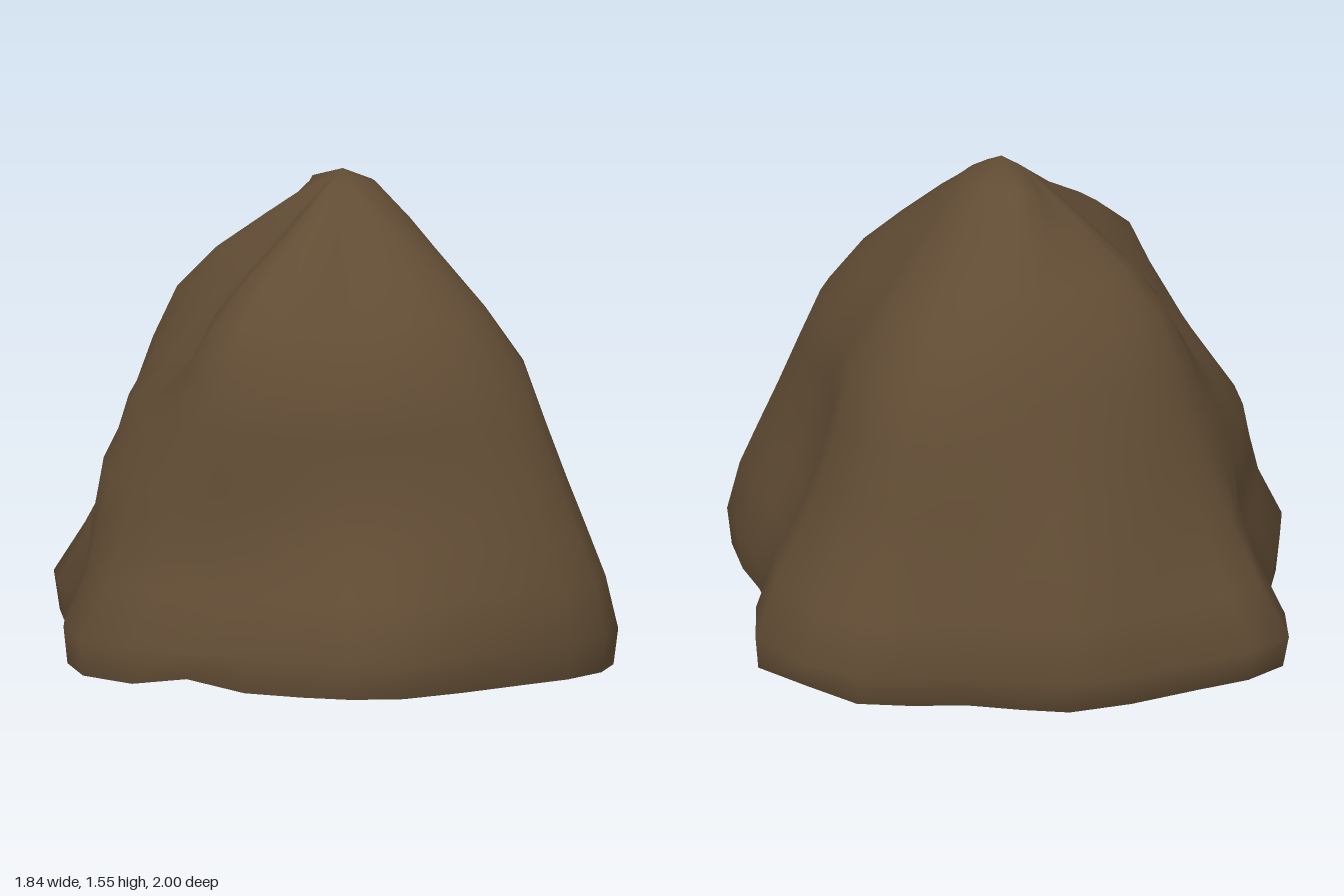
import * as THREE from 'three';

// Footprint at its widest (x, z), running from the back round by the left side
const OUTLINE = [
  [-0.02, -1], [0.13, -0.95], [0.3, -0.88], [0.48, -0.85], [0.65, -0.8], [0.8, -0.69],
  [0.915, -0.45], [0.87, -0.22], [0.8, -0.02], [0.8, 0.17], [0.825, 0.34], [0.825, 0.54],
  [0.76, 0.67], [0.63, 0.77], [0.46, 0.84], [0.25, 0.93], [0.04, 1], [-0.13, 0.98],
  [-0.28, 0.91], [-0.45, 0.8], [-0.62, 0.68], [-0.78, 0.57], [-0.91, 0.4], [-0.92, 0.18],
  [-0.88, 0], [-0.82, -0.2], [-0.78, -0.37], [-0.79, -0.58], [-0.77, -0.76], [-0.64, -0.85],
  [-0.46, -0.9], [-0.23, -0.97],
];

// Reach in eight directions: +x, +x+z, +z, -x+z, -x, -x-z, -z, +x-z
const BASE = [0.8, 1.01, 1, 0.95, 0.88, 1.08, 1, 1.05];
const LEVELS = [
  { y: 0.29, reach: [0.74, 0.97, 0.9, 0.84, 0.81, 0.96, 0.94, 0.97] },
  { y: 0.44, reach: [0.67, 0.91, 0.8, 0.78, 0.79, 0.87, 0.87, 0.88] },
  { y: 0.6, reach: [0.62, 0.84, 0.71, 0.74, 0.76, 0.79, 0.79, 0.82] },
  { y: 0.78, reach: [0.59, 0.76, 0.67, 0.71, 0.64, 0.72, 0.7, 0.75] },
  { y: 0.95, reach: [0.56, 0.68, 0.63, 0.67, 0.47, 0.66, 0.63, 0.68] },
  { y: 1.12, reach: [0.44, 0.55, 0.48, 0.58, 0.34, 0.58, 0.54, 0.55] },
  { y: 1.25, reach: [0.35, 0.41, 0.32, 0.42, 0.23, 0.45, 0.44, 0.41] },
  { y: 1.38, reach: [0.25, 0.26, 0.18, 0.2, 0.14, 0.26, 0.31, 0.28] },
  { y: 1.5, reach: [0.14, 0.1, 0.05, 0.04, 0.03, 0.08, 0.19, 0.16] },
];

// Eased blend of eight directional values at one angle
function around(values, angle) {
  const t = (angle / (Math.PI / 4) + 8) % 8;
  const i = Math.floor(t), e = (1 - Math.cos((t - i) * Math.PI)) / 2;
  return THREE.MathUtils.lerp(values[i], values[(i + 1) % 8], e);
}

function moundGeometry() {
  const n = OUTLINE.length, pos = [], index = [];
  // Tucked-in open rim, with two small notches at opposite corners
  OUTLINE.forEach(([x, z], i) => pos.push(x * 0.985, i === 5 || i === 20 ? 0.03 : 0, z * (z > 0 ? 0.97 : 0.945)));
  // Widest ring
  OUTLINE.forEach(([x, z]) => pos.push(x, 0.12, z));
  // Tapering rings: they follow the footprint low down and round off higher up
  for (const { y, reach } of LEVELS) {
    const rounding = THREE.MathUtils.smoothstep(y, 0.2, 0.9);
    for (const [x, z] of OUTLINE) {
      const angle = Math.atan2(z, x), radius = around(reach, angle);
      const scaled = Math.hypot(x, z) * radius / around(BASE, angle);
      const r = THREE.MathUtils.lerp(scaled, radius, rounding);
      pos.push(r * Math.cos(angle), y, r * Math.sin(angle));
    }
  }
  const rings = LEVELS.length + 2;
  for (let r = 0; r < rings - 1; r++) {
    for (let i = 0; i < n; i++) {
      const a = r * n + i, b = r * n + (i + 1) % n;
      index.push(a, a + n, b, b, a + n, b + n);
    }
  }
  // Peak
  const apex = rings * n;
  pos.push(0.03, 1.55, -0.01);
  for (let i = 0; i < n; i++) index.push(apex - n + i, apex, apex - n + (i + 1) % n);

  const g = new THREE.BufferGeometry();
  g.setAttribute('position', new THREE.Float32BufferAttribute(pos, 3));
  g.setIndex(index);
  g.computeVertexNormals();
  return g;
}

export function createModel() {
  const group = new THREE.Group();
  group.name = 'rockMound';
  const brown = new THREE.MeshStandardMaterial({ color: 0x614c34, side: THREE.DoubleSide });
  brown.name = 'earth brown';
  const mound = new THREE.Mesh(moundGeometry(), brown);
  mound.name = 'moundShell';
  group.add(mound);
  return group;
}
